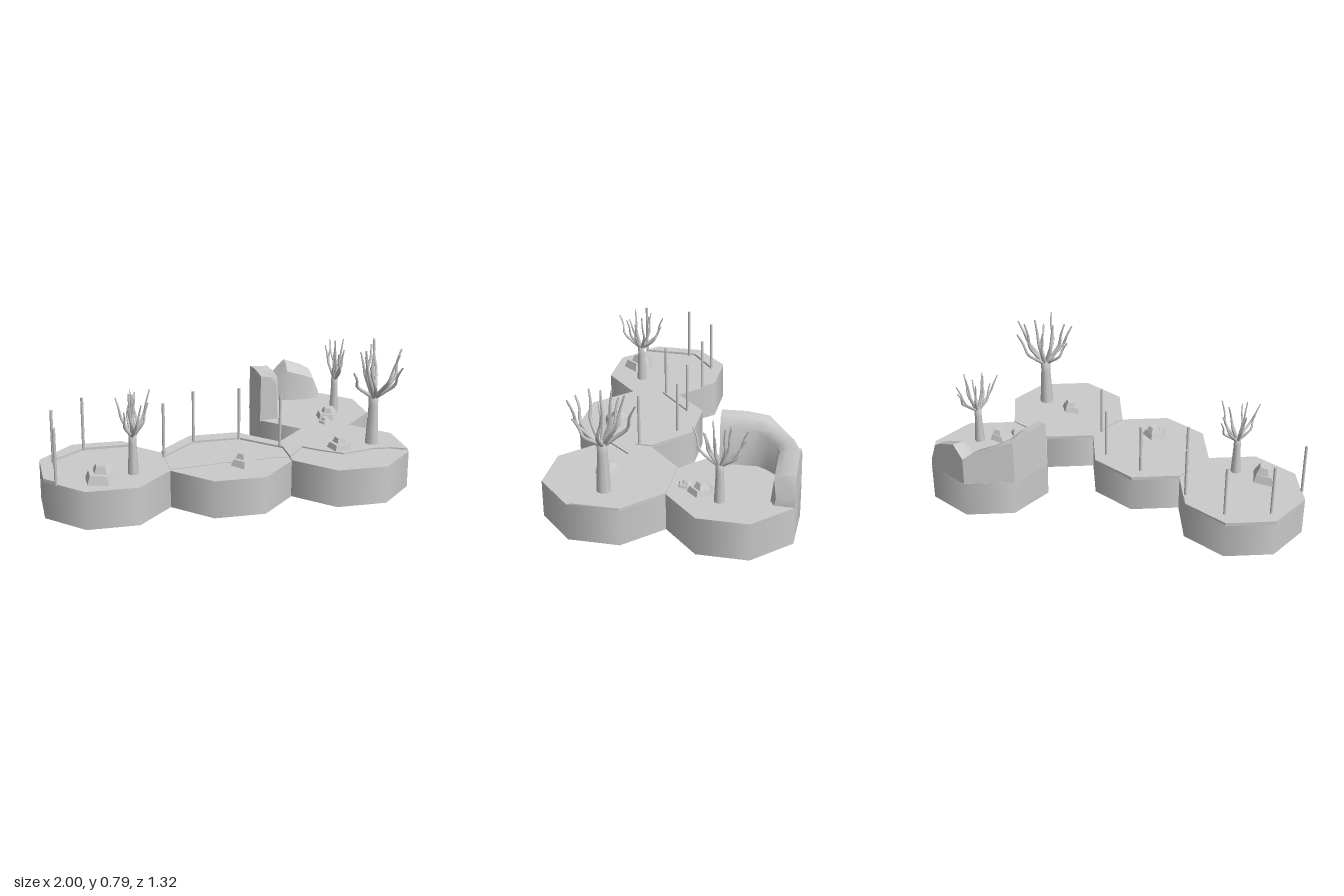
import * as THREE from 'three';
import { toCreasedNormals } from 'three/addons/utils/BufferGeometryUtils.js';

const smooth = new THREE.MeshStandardMaterial({ color: 0xcccccc, side: THREE.DoubleSide });
const faceted = new THREE.MeshStandardMaterial({ color: 0xcccccc, flatShading: true, side: THREE.DoubleSide });

function add(parent, name, geometry, material = smooth) {
  const mesh = new THREE.Mesh(geometry, material);
  mesh.name = name;
  parent.add(mesh);
  return mesh;
}

// Flat slab with an outline given as [x, z] points
function slab(parent, name, points, y0, y1) {
  const shape = new THREE.Shape(points.map(([x, z]) => new THREE.Vector2(x, -z)));
  const geo = new THREE.ExtrudeGeometry(shape, { depth: y1 - y0, bevelEnabled: false });
  geo.rotateX(-Math.PI / 2).translate(0, y0, 0);
  return add(parent, name, geo);
}

// Octagonal ground block with flat sides on the axes
function tile(parent, name, x, z, height) {
  const r = 0.33 / Math.cos(Math.PI / 8);
  const geo = new THREE.CylinderGeometry(r, r, height, 8, 1, false, Math.PI / 8);
  add(parent, name, geo).position.set(x, height / 2, z);
}

// Tube that narrows toward its tip
function taperedTube(points, r0, r1) {
  const curve = new THREE.CatmullRomCurve3(points);
  const segs = 12, sides = 6;
  const geo = new THREE.TubeGeometry(curve, segs, r0, sides);
  const pos = geo.attributes.position, v = new THREE.Vector3();
  for (let i = 0; i <= segs; i++) {
    const c = curve.getPointAt(i / segs);
    const k = THREE.MathUtils.lerp(1, r1 / r0, i / segs);
    for (let j = 0; j <= sides; j++) {
      const n = i * (sides + 1) + j;
      v.fromBufferAttribute(pos, n).sub(c).multiplyScalar(k).add(c);
      pos.setXYZ(n, v.x, v.y, v.z);
    }
  }
  return geo;
}

// Bare tree: flared trunk and curved branches; tips are [dx, y, dz]
function tree(parent, x, z, y0, fork, r, tips) {
  const group = new THREE.Group();
  group.name = 'tree';
  group.position.set(x, 0, z);
  parent.add(group);
  const h = fork - y0;
  const profile = [[r, y0], [r * 0.88, y0 + h * 0.3], [r * 0.7, y0 + h * 0.8], [r * 0.72, fork], [0, fork + r * 0.7]];
  add(group, 'trunk', new THREE.LatheGeometry(profile.map(p => new THREE.Vector2(...p)), 8));
  tips.forEach(([dx, y, dz], i) => {
    const rise = y - fork, w = (i % 2 ? 1 : -1) * 0.08;
    const at = (side, up) => new THREE.Vector3(
      dx * side + dz * w * Math.sin(up * 5), fork + rise * up, dz * side - dx * w * Math.sin(up * 5));
    const path = [at(0, -0.08), at(0.38, 0.17), at(0.72, 0.42), at(0.82, 0.72), at(1, 1)];
    add(group, 'branch', taperedTube(path, r * 0.33, r * 0.12));
  });
}

// Low stone: two stacked five-sided frustums
function stone(parent, x, y, z, r, h, turn) {
  const group = new THREE.Group();
  group.name = 'stone';
  group.position.set(x, y, z);
  group.rotation.y = turn;
  parent.add(group);
  const low = add(group, 'stoneBase', new THREE.CylinderGeometry(r * 0.8, r, h * 0.55, 5), faceted);
  low.position.y = h * 0.275;
  const high = add(group, 'stoneTop', new THREE.CylinderGeometry(r * 0.4, r * 0.62, h * 0.5, 5), faceted);
  high.position.set(r * 0.12, h * 0.75, -r * 0.1);
  high.rotation.z = 0.08;
}

// Curved cliff: stations of [outerX, outerZ, innerX, innerZ, top]
function cliff(parent) {
  const stations = [
    [0.32, -0.20, 0.43, -0.21, 0.48], [0.32, -0.34, 0.42, -0.32, 0.485],
    [0.32, -0.46, 0.415, -0.41, 0.47], [0.40, -0.54, 0.44, -0.46, 0.44],
    [0.47, -0.61, 0.48, -0.51, 0.42], [0.52, -0.66, 0.53, -0.55, 0.37],
    [0.59, -0.66, 0.58, -0.53, 0.44], [0.70, -0.66, 0.69, -0.53, 0.40],
    [0.75, -0.66, 0.75, -0.53, 0.37], [0.79, -0.66, 0.79, -0.55, 0.26],
  ];
  const pos = [], idx = [], n = 5;
  stations.forEach(([ox, oz, ix, iz, top]) => {
    const mix = (t, y) => pos.push(ox + (ix - ox) * t, y, oz + (iz - oz) * t);
    mix(0, 0.2);
    mix(0.02, top);
    mix(0.55, top - 0.01);
    mix(0.88, 0.2 + (top - 0.2) * 0.8);
    mix(1, 0.2);
  });
  const last = (stations.length - 1) * n;
  for (let s = 0; s < last; s += n) {
    for (let j = 0; j < n; j++) {
      const a = s + j, b = s + (j + 1) % n;
      idx.push(a, b, a + n, b, b + n, a + n);
    }
  }
  for (let j = 1; j < n - 1; j++) {
    idx.push(0, j + 1, j, last, last + j, last + j + 1);
  }
  const geo = new THREE.BufferGeometry();
  geo.setAttribute('position', new THREE.Float32BufferAttribute(pos, 3));
  geo.setIndex(idx);
  add(parent, 'cliff', toCreasedNormals(geo, 0.7));
}

export function createModel() {
  const model = new THREE.Group();
  model.name = 'terrain';

  // Ground blocks
  tile(model, 'rightTile', -0.67, 0.33, 0.207);
  tile(model, 'middleTile', -0.01, 0.33, 0.206);
  tile(model, 'leftTile', 0.655, 0.33, 0.208);
  tile(model, 'backTile', 0.655, -0.33, 0.21);

  // Raised ground with a ragged front edge
  slab(model, 'middleUpperGround', [[-0.34, 0.2], [-0.147, 0], [0.127, 0], [0.32, 0.2], [0.32, 0.42],
    [0.25, 0.4], [0.12, 0.42], [0.05, 0.43], [-0.05, 0.42], [-0.2, 0.44], [-0.27, 0.45], [-0.34, 0.45]], 0.2, 0.21);
  slab(model, 'leftUpperGround', [[0.325, 0.193], [0.518, 0], [0.792, 0], [0.985, 0.193], [0.985, 0.45],
    [0.9, 0.41], [0.8, 0.4], [0.72, 0.42], [0.62, 0.44], [0.52, 0.37], [0.43, 0.29], [0.325, 0.42]], 0.2, 0.216);

  // Raised rims
  slab(model, 'rightRim', [[-0.937, 0.53], [-1, 0.467], [-1, 0.193], [-0.807, 0], [-0.533, 0],
    [-0.47, 0.065], [-0.75, 0.065], [-0.935, 0.21]], 0.2, 0.22);
  slab(model, 'middleRim', [[-0.34, 0.28], [-0.34, 0.193], [-0.147, 0], [0.127, 0], [0.32, 0.193],
    [0.32, 0.28], [0.12, 0.09], [-0.14, 0.09]], 0.2, 0.22);

  // Fence posts
  const posts = [[-0.94, 0.525], [-0.93, 0.245], [-0.75, 0.067], [-0.48, 0.07],
    [-0.338, 0.26], [-0.14, 0.088], [0.12, 0.088], [0.31, 0.26]];
  for (const [x, z] of posts) {
    add(model, 'post', new THREE.CylinderGeometry(0.008, 0.008, 0.31, 8)).position.set(x, 0.355, z);
  }

  cliff(model);

  // Trees
  const smallTips = [[-0.075, 0.61, -0.05], [0.0, 0.62, -0.14], [0.035, 0.57, -0.13], [0.095, 0.645, -0.04],
    [0.08, 0.59, 0.02], [-0.02, 0.65, 0.04], [0.03, 0.6, 0.08], [-0.03, 0.6, 0.145], [-0.06, 0.57, 0.08], [0.02, 0.63, -0.06]];
  tree(model, -0.535, 0.46, 0.205, 0.42, 0.029, smallTips);
  tree(model, 0.8, -0.28, 0.21, 0.42, 0.029, smallTips.map(([x, y, z]) => [x * 0.6, y, z]));
  tree(model, 0.825, 0.315, 0.21, 0.49, 0.04, [[-0.14, 0.64, 0.04], [-0.08, 0.74, 0.09], [-0.06, 0.75, 0.01],
    [0.01, 0.79, -0.065], [0.045, 0.78, -0.13], [0.03, 0.73, -0.19], [0.175, 0.73, -0.04], [0.125, 0.67, 0.1],
    [0.07, 0.75, 0.15], [-0.07, 0.7, 0.16], [-0.05, 0.72, -0.08]]);

  // Stones
  stone(model, -0.71, 0.205, 0.52, 0.095, 0.085, 0.3);
  stone(model, 0.06, 0.205, 0.46, 0.075, 0.065, 1.0);
  stone(model, 0.63, 0.21, 0.35, 0.075, 0.065, 0.6);
  stone(model, 0.725, 0.205, -0.17, 0.075, 0.065, 0.2);
  stone(model, 0.685, 0.205, -0.08, 0.045, 0.035, 0.8);
  return model;
}
